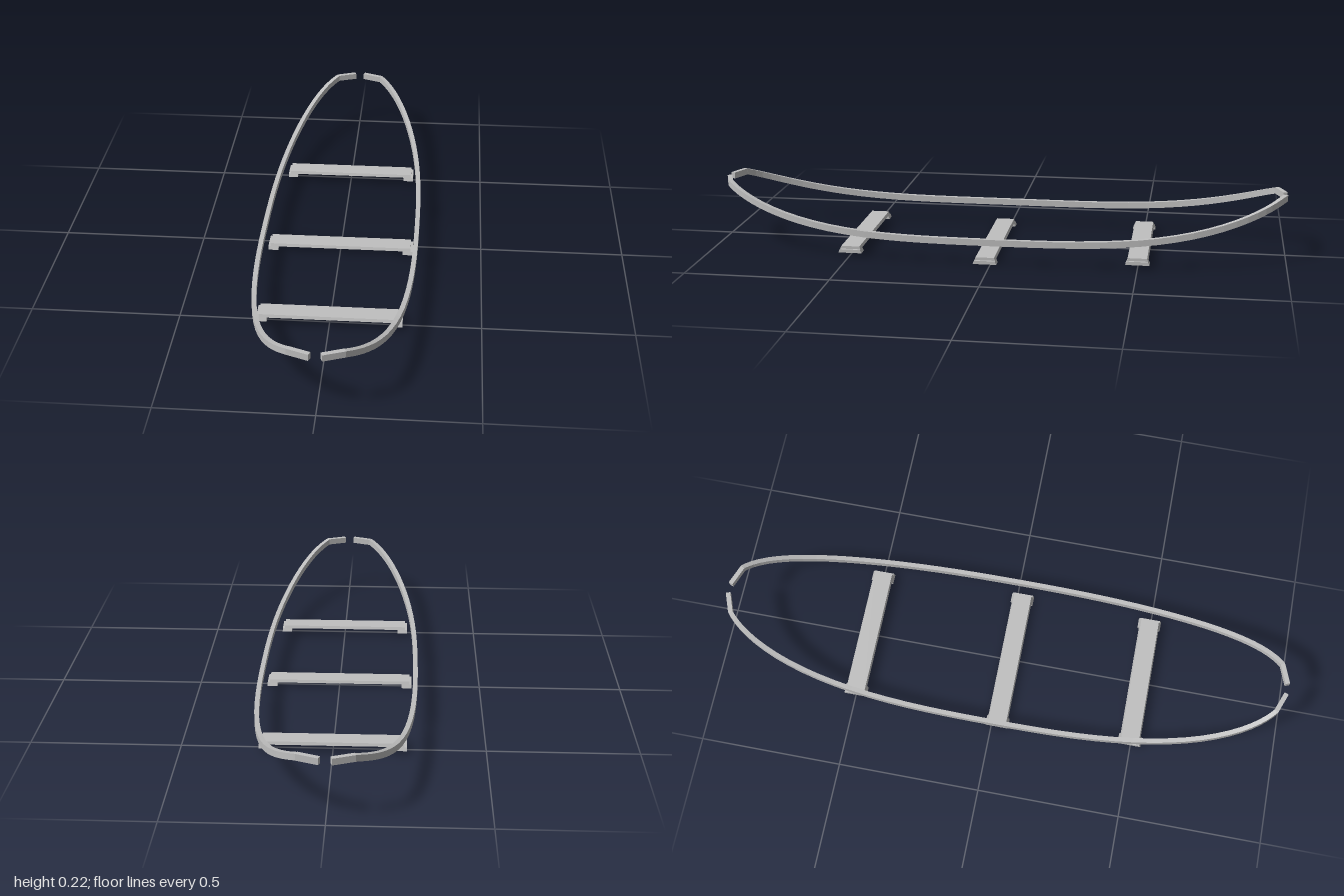
import * as THREE from 'three';

const grey = new THREE.MeshStandardMaterial({ color: 0xc0c0c0 });
grey.name = 'plain grey';

// Centre line of one gunwale: bowed outwards, swept up to both ends
function railPath() {
  const half = [];
  const steps = 20, kink = 0.966;
  for (let i = 0; i <= steps; i++) {
    const z = kink * Math.sin((i / steps) * Math.PI / 2);
    const x = 0.278 * Math.pow(1 - Math.pow(z, 2.6), 0.44) - 0.008;
    const y = 0.083 + 0.128 * Math.pow(z / kink, 3.5);
    half.push(new THREE.Vector3(x, y, z));
  }
  half.push(new THREE.Vector3(0.018, 0.211, 0.992));
  const back = half.slice(1).reverse().map(p => new THREE.Vector3(p.x, p.y, -p.z));
  return back.concat(half);
}

// Upright rectangular section swept along the path, capped at both ends
function railGeometry(side) {
  const path = railPath().map(p => new THREE.Vector3(p.x * side, p.y, p.z));
  const w = 0.008, h = 0.011;
  const rings = path.map((p, i) => {
    const a = path[Math.max(i - 1, 0)], b = path[Math.min(i + 1, path.length - 1)];
    const len = Math.hypot(b.x - a.x, b.z - a.z);
    const nx = (b.z - a.z) / len, nz = -(b.x - a.x) / len;
    return [[-w, -h], [w, -h], [w, h], [-w, h]].map(([u, v]) => [p.x + nx * u, p.y + v, p.z + nz * u]);
  });
  const pos = [];
  const quad = (a, b, c, d) => pos.push(...a, ...b, ...c, ...a, ...c, ...d);
  for (let i = 0; i < rings.length - 1; i++) {
    for (let k = 0; k < 4; k++) {
      const n = (k + 1) % 4;
      quad(rings[i][k], rings[i + 1][k], rings[i + 1][n], rings[i][n]);
    }
  }
  const [s, e] = [rings[0], rings[rings.length - 1]];
  quad(s[0], s[1], s[2], s[3]);
  quad(e[3], e[2], e[1], e[0]);
  // Turn every face outwards
  for (let t = 0; t < pos.length; t += 9) {
    for (let c = 0; c < 3; c++) [pos[t + 3 + c], pos[t + 6 + c]] = [pos[t + 6 + c], pos[t + 3 + c]];
  }
  const g = new THREE.BufferGeometry();
  g.setAttribute('position', new THREE.Float32BufferAttribute(pos, 3));
  // The section winds the other way round the path, so check one face and correct
  g.computeVertexNormals();
  const top = 2 * 18 + 1;
  if (g.attributes.normal.getY(top) < 0 !== pos[top * 3 + 1] < path[0].y - h * 0.5) {
    const idx = [];
    for (let i = 0; i < pos.length / 3; i += 3) idx.push(i, i + 2, i + 1);
    g.setIndex(idx);
    const flat = g.toNonIndexed();
    flat.computeVertexNormals();
    return flat;
  }
  return g;
}

// Box whose long sides lean inwards towards the top
function taperedSlab(length, height, bottom, top) {
  const g = new THREE.BoxGeometry(length, height, bottom).toNonIndexed();
  const p = g.attributes.position;
  for (let i = 0; i < p.count; i++) {
    if (p.getY(i) > 0) p.setZ(i, p.getZ(i) * top / bottom);
  }
  g.computeVertexNormals();
  return g;
}

function addMesh(parent, geometry, name, x = 0, y = 0, z = 0) {
  const m = new THREE.Mesh(geometry, grey);
  m.name = name;
  m.position.set(x, y, z);
  parent.add(m);
}

export function createModel() {
  const model = new THREE.Group();
  model.name = 'boatFittings';

  // Gunwales
  for (const [side, name] of [[1, 'leftGunwale'], [-1, 'rightGunwale']]) {
    addMesh(model, railGeometry(side), name);
  }

  // Thwarts with a foot block under each end
  const thwarts = [
    ['rearThwart', -0.5, 0.015, 0.233],
    ['middleThwart', 0.02, 0, 0.25],
    ['frontThwart', 0.495, 0.015, 0.233],
  ];
  for (const [name, z, y, half] of thwarts) {
    const thwart = new THREE.Group();
    thwart.name = name;
    thwart.position.set(0, y, z);
    addMesh(thwart, taperedSlab(half * 2, 0.01, 0.072, 0.064), 'seatPlank', 0, 0.017, 0);
    for (const s of [1, -1]) {
      addMesh(thwart, taperedSlab(0.036, 0.012, 0.082, 0.072), s > 0 ? 'leftFoot' : 'rightFoot', s * (half - 0.01), 0.006, 0);
    }
    model.add(thwart);
  }
  return model;
}
